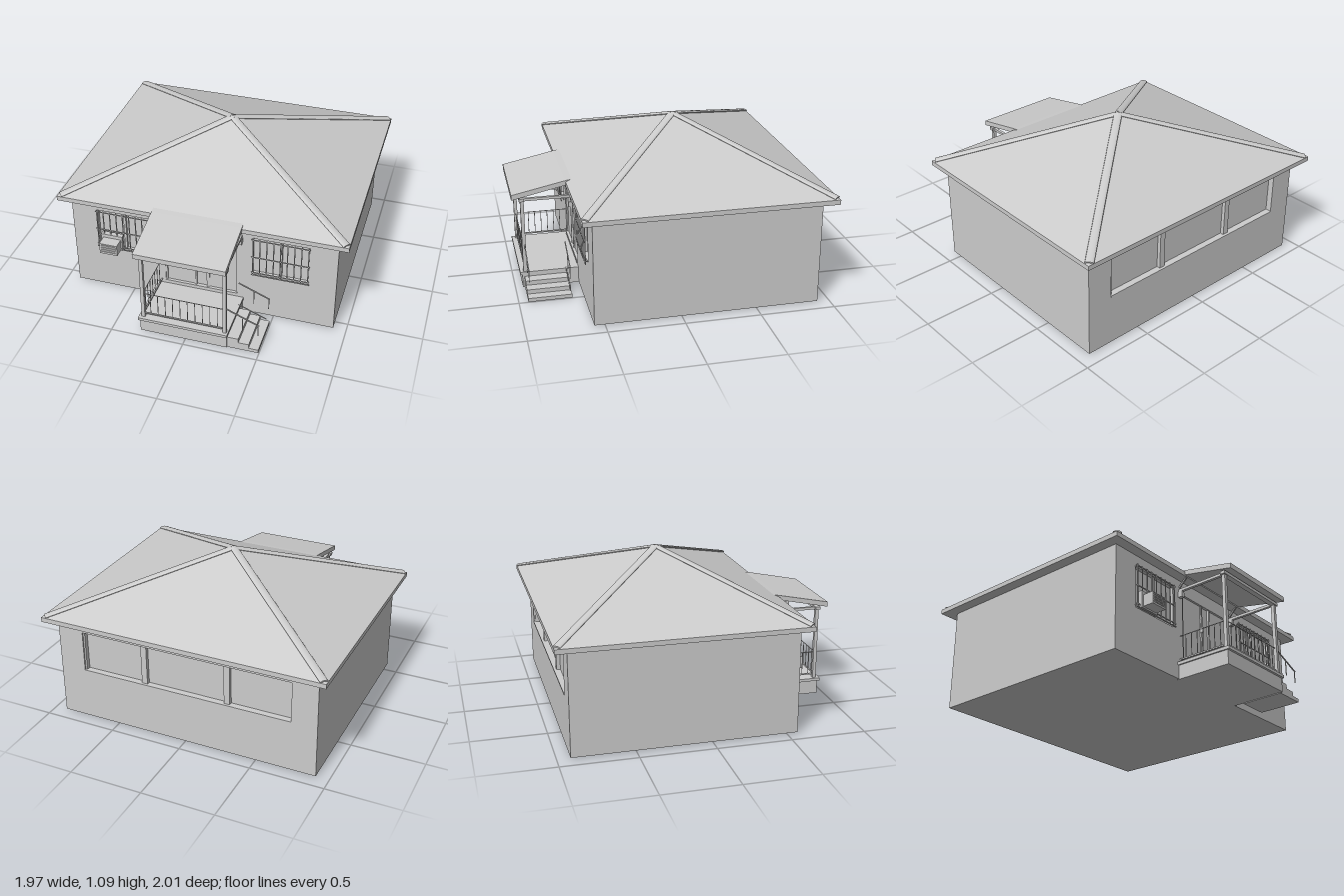
import * as THREE from 'three';

const grey = new THREE.MeshStandardMaterial({ color: 0xcccccc });
grey.name = 'plain grey';

function add(parent, name, geometry) {
  const mesh = new THREE.Mesh(geometry, grey);
  mesh.name = name;
  parent.add(mesh);
  return mesh;
}

// Box given by its minimum and maximum corners
function box(parent, name, x0, x1, y0, y1, z0, z1) {
  const mesh = add(parent, name, new THREE.BoxGeometry(x1 - x0, y1 - y0, z1 - z0));
  mesh.position.set((x0 + x1) / 2, (y0 + y1) / 2, (z0 + z1) / 2);
  return mesh;
}

// Mesh whose z axis runs from one point to another; make(length) gives its geometry
function span(parent, name, a, b, make) {
  const p = new THREE.Vector3(...a), q = new THREE.Vector3(...b);
  const mesh = add(parent, name, make(p.distanceTo(q)));
  mesh.position.copy(p).add(q).multiplyScalar(0.5);
  mesh.lookAt(q);
}

// Straight square bar between two points
function bar(parent, name, a, b, w) {
  span(parent, name, a, b, length => new THREE.BoxGeometry(w, w, length));
}

function group(parent, name) {
  const g = new THREE.Group();
  g.name = name;
  parent.add(g);
  return g;
}

// Wall panel in the xy plane with rectangular openings [x0, x1, y0, y1]
function wallPanel(parent, name, openings, z, depth) {
  const rect = (path, x0, x1, y0, y1) =>
    path.moveTo(x0, y0).lineTo(x1, y0).lineTo(x1, y1).lineTo(x0, y1).closePath();
  const shape = new THREE.Shape();
  rect(shape, -0.913, 0.913, 0.008, 0.72);
  for (const o of openings) {
    const hole = new THREE.Path();
    rect(hole, ...o);
    shape.holes.push(hole);
  }
  add(parent, name, new THREE.ExtrudeGeometry(shape, { depth, bevelEnabled: false })).position.z = z;
}

// Hipped roof made of four flat slopes meeting at the apex
function roofSlopes(parent) {
  const apex = [0, 1.078, -0.15], e = 0.745;
  const corners = [[-0.985, e, 0.64], [0.985, e, 0.64], [0.985, e, -1], [-0.985, e, -1]];
  const points = [];
  corners.forEach((c, i) => points.push(...c, ...corners[(i + 1) % 4], ...apex));
  const geo = new THREE.BufferGeometry();
  geo.setAttribute('position', new THREE.Float32BufferAttribute(points, 3));
  geo.computeVertexNormals();
  add(parent, 'roofSlopes', geo);
  // Low rounded caps along the hips
  for (const [x, y, z] of corners) {
    span(parent, 'hipCap', [x * 0.98, y + 0.006, z - Math.sign(z) * 0.016], apex, length =>
      new THREE.CylinderGeometry(0.028, 0.028, length, 12).rotateX(Math.PI / 2).scale(1, 0.36, 1));
  }
}

// Window grille standing in front of the wall
function grille(parent, name, x0, x1, z) {
  const g = group(parent, name), t = 0.006, y0 = 0.345, y1 = 0.645;
  for (let i = 0; i < 9; i++) {
    const x = x0 + 0.01 + (x1 - x0 - 0.02) * i / 8;
    bar(g, 'uprightBar', [x, y0, z], [x, y1, z], t);
  }
  for (const y of [0.348, 0.368, 0.495, 0.635]) bar(g, 'crossBar', [x0, y, z], [x1, y, z], t);
  for (const x of [x0 + 0.01, x1 - 0.01])
    for (const y of [y0 + 0.02, y1 - 0.01]) bar(g, 'fixing', [x, y, z - 0.03], [x, y, z], t);
}

export function createModel() {
  const house = new THREE.Group();
  house.name = 'house';

  // Walls with recessed windows and doorway
  const walls = group(house, 'walls');
  const front = [[-0.73, -0.36, 0.35, 0.635], [0.35, 0.725, 0.35, 0.635], [-0.26, 0.25, 0.14, 0.62]];
  const back = [[-0.74, 0.735, 0.36, 0.645]];
  box(walls, 'wallCore', -0.913, 0.913, 0.008, 0.72, -0.875, 0.545);
  wallPanel(walls, 'frontWall', front, 0.545, 0.025);
  wallPanel(walls, 'backWall', back, -0.915, 0.04);

  // Back window frame
  const rear = group(house, 'backWindow');
  for (const x of [-0.298, 0.29]) box(rear, 'mullion', x - 0.02, x + 0.02, 0.36, 0.645, -0.9, -0.87);
  box(rear, 'sideFrame', 0.723, 0.735, 0.36, 0.645, -0.905, -0.87);
  box(rear, 'sill', -0.74, 0.735, 0.355, 0.365, -0.918, -0.87);

  // Front window frames and grilles
  grille(house, 'leftGrille', 0.345, 0.735, 0.588);
  grille(house, 'rightGrille', -0.74, -0.355, 0.588);
  for (const x of [-0.5425, 0.5375]) box(house, 'windowMullion', x - 0.008, x + 0.008, 0.35, 0.635, 0.54, 0.562);

  // Air conditioner
  const cooler = group(house, 'airConditioner');
  box(cooler, 'coolerBody', -0.69, -0.565, 0.36, 0.44, 0.6, 0.675);
  box(cooler, 'coolerBack', -0.705, -0.555, 0.35, 0.465, 0.565, 0.6);
  for (let i = 0; i < 4; i++) box(cooler, 'coolerSlat', -0.68, -0.575, 0.372 + i * 0.017, 0.38 + i * 0.017, 0.67, 0.68);

  // Sliding door
  const door = group(house, 'door');
  for (const [x0, x1, z] of [[-0.26, -0.04, 0.55], [0.03, 0.25, 0.55], [-0.055, 0.05, 0.545]]) {
    box(door, 'doorPanel', x0, x1, 0.14, 0.62, z - 0.01, z + 0.005);
    for (const x of [x0, x1 - 0.012]) box(door, 'doorStile', x, x + 0.012, 0.14, 0.62, z, z + 0.015);
  }
  box(door, 'doorSill', -0.26, 0.25, 0.13, 0.15, 0.54, 0.575);
  box(door, 'doorHandle', -0.056, -0.046, 0.425, 0.46, 0.56, 0.58);

  // Roof
  const roof = group(house, 'roof');
  box(roof, 'eaves', -0.985, 0.985, 0.713, 0.745, -1, 0.64);
  roofSlopes(roof);

  // Porch base
  const porch = group(house, 'porch');
  box(porch, 'porchBase', -0.31, 0.285, 0.005, 0.1, 0.56, 0.95);
  box(porch, 'porchFloor', -0.32, 0.29, 0.1, 0.12, 0.56, 0.965);

  // Sloping canopy running up to the eaves
  const side = new THREE.Shape([[-0.57, 0.767], [-0.64, 0.755], [-1, 0.68], [-1, 0.645], [-0.64, 0.722], [-0.57, 0.735]]
    .map(([x, y]) => new THREE.Vector2(x, y)));
  const canopy = add(porch, 'canopy', new THREE.ExtrudeGeometry(side, { depth: 0.61, bevelEnabled: false }));
  canopy.rotation.y = Math.PI / 2;
  canopy.position.x = -0.317;

  // Posts and beams
  for (const x of [-0.29, 0.268]) {
    box(porch, 'post', x - 0.012, x + 0.012, 0.12, 0.63, 0.918, 0.942);
    box(porch, 'sideBeam', x - 0.01, x + 0.01, 0.627, 0.645, 0.56, 0.95);
    bar(porch, 'bracket', [x, 0.66, 0.57], [x, 0.72, 0.63], 0.01);
    box(porch, 'lamp', x - 0.013, x + 0.013, 0.585, 0.625, 0.565, 0.6);
  }
  box(porch, 'frontBeam', -0.315, 0.29, 0.627, 0.648, 0.915, 0.95);

  // Railings along the front and right side
  const railing = group(porch, 'railing');
  const rails = [[[-0.29, 0.93], [0.268, 0.93], 11], [[-0.29, 0.57], [-0.29, 0.93], 8]];
  for (const [[xa, za], [xb, zb], n] of rails) {
    bar(railing, 'lowerRail', [xa, 0.147, za], [xb, 0.147, zb], 0.009);
    bar(railing, 'upperRail', [xa, 0.31, za], [xb, 0.31, zb], 0.004);
    for (let i = 1; i < n; i++) {
      const x = xa + (xb - xa) * i / n, z = za + (zb - za) * i / n;
      bar(railing, 'baluster', [x, 0.147, z], [x, 0.31, z], 0.004);
    }
  }

  // Side steps with handrails
  const stairs = group(house, 'stairs');
  [[0.36, 0.085], [0.43, 0.055], [0.495, 0.025]].forEach(([x, y], i) => {
    box(stairs, 'step', i ? 0.285 + i * 0.072 : 0.28, x, 0, y, 0.645, 0.937);
  });
  for (const z of [0.655, 0.925]) {
    bar(stairs, 'handrail', [0.28, 0.312, z], [0.495, 0.222, z], 0.007);
    bar(stairs, 'handrailPost', [0.488, 0.14, z], [0.488, 0.225, z], 0.005);
    bar(stairs, 'handrailPost', [0.385, 0.16, z], [0.385, 0.268, z], 0.005);
  }
  bar(stairs, 'lowerHandrail', [0.28, 0.125, 0.655], [0.475, 0.045, 0.655], 0.005);
  return house;
}
